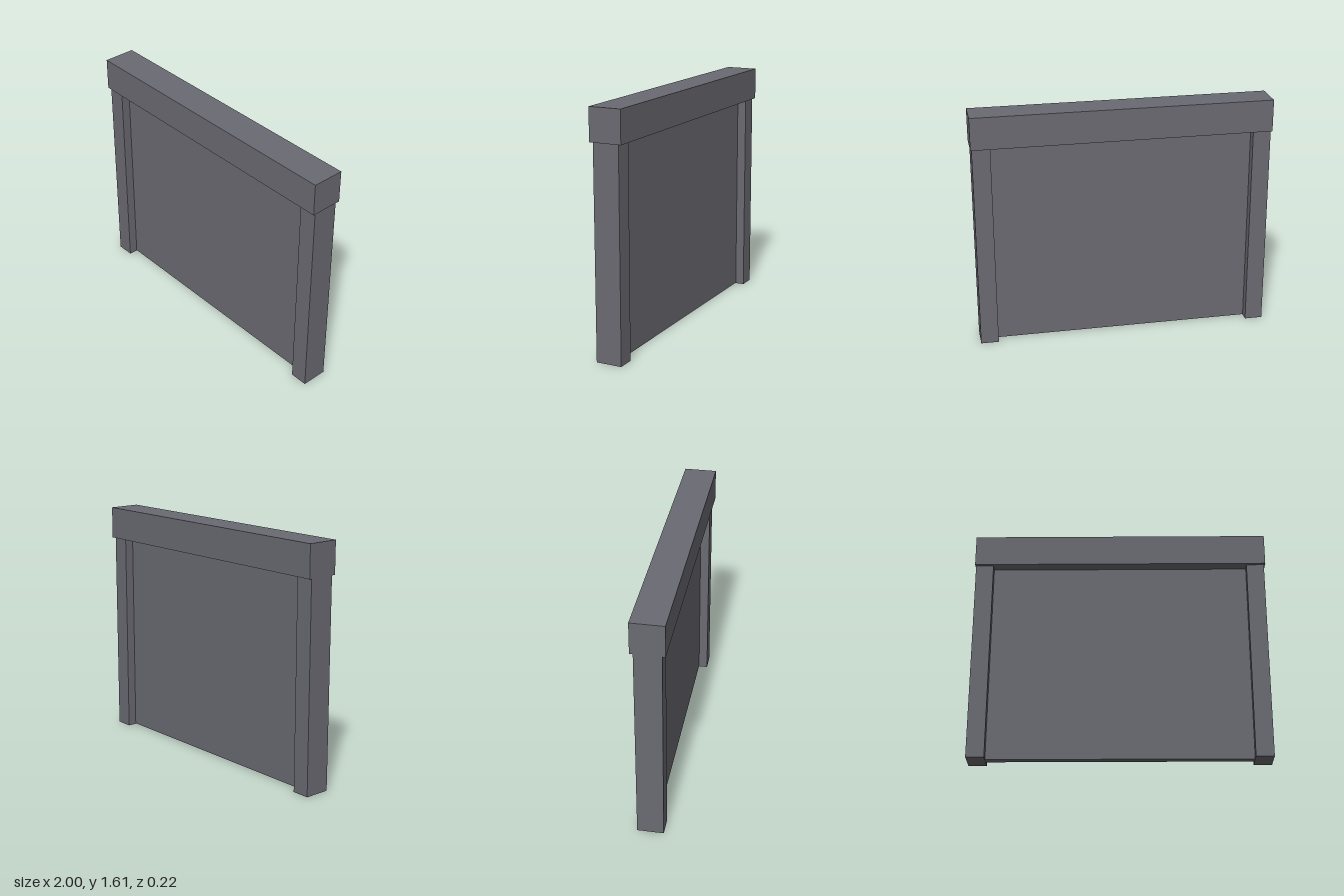
import * as THREE from 'three';

export function createModel() {
  const group = new THREE.Group();
  const slate = new THREE.MeshStandardMaterial({ name: 'slateGrey', color: 0x6a6a72 });

  // Box given by its extents along x and y, centred on z
  const addBox = (name, x0, x1, y0, y1, depth) => {
    const mesh = new THREE.Mesh(new THREE.BoxGeometry(x1 - x0, y1 - y0, depth), slate);
    mesh.position.set((x0 + x1) / 2, (y0 + y1) / 2, 0);
    mesh.name = name;
    group.add(mesh);
  };

  // Overhanging top beam
  addBox('topBeam', -1, 1, 1.397, 1.613, 0.217);

  // Side posts
  addBox('rightPost', -0.995, -0.875, 0, 1.397, 0.175);
  addBox('leftPost', 0.872, 0.992, 0, 1.397, 0.175);

  // Thin panel between the posts
  addBox('panel', -0.875, 0.872, 0.003, 1.397, 0.052);

  return group;
}
